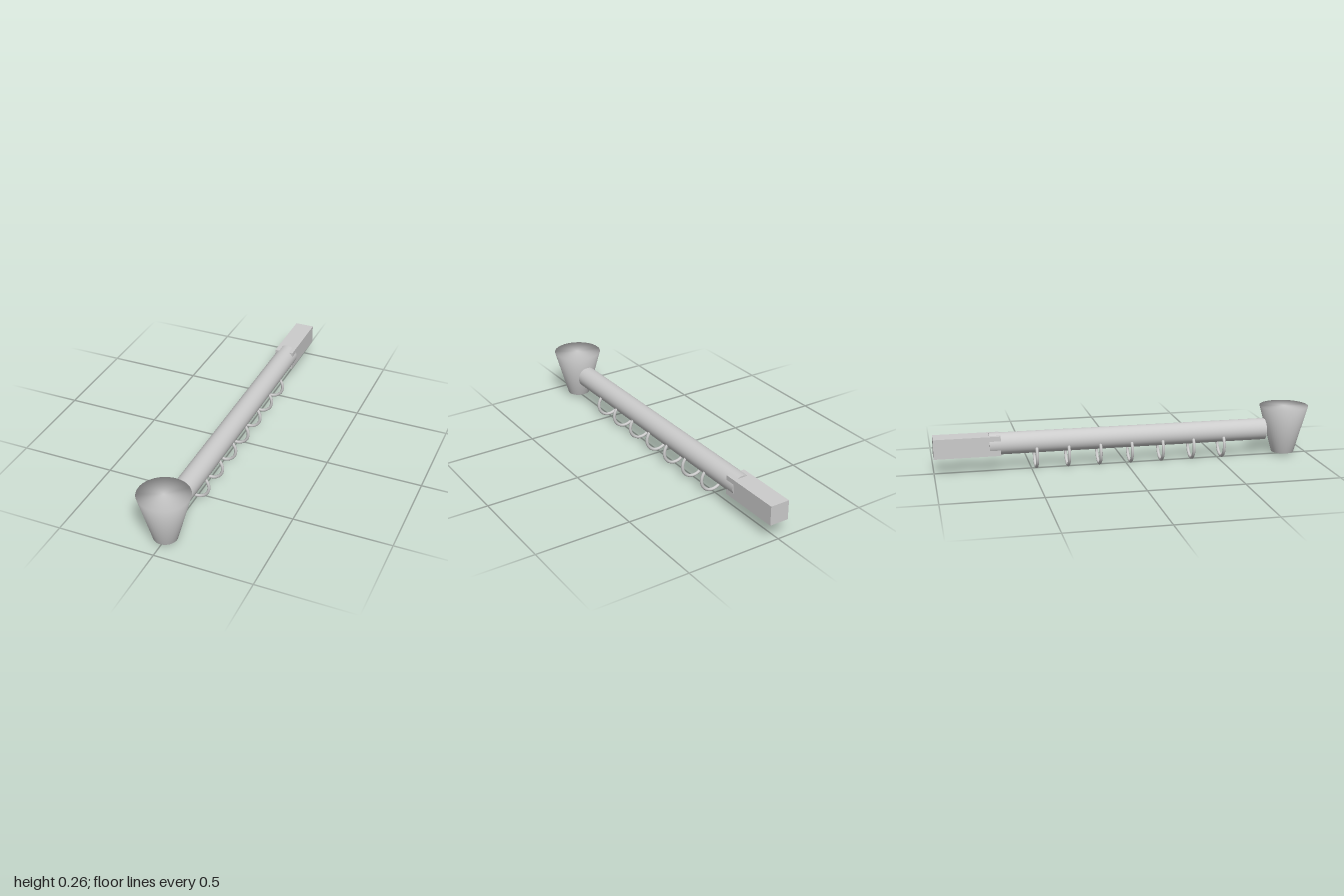
import * as THREE from 'three';
import { mergeVertices } from 'three/addons/utils/BufferGeometryUtils.js';

const AXIS_Y = 0.142; // height of the rod's axis

export function createModel() {
  const group = new THREE.Group();
  const material = new THREE.MeshStandardMaterial({ color: 0xcccccc });

  function add(name, geometry, x, y, z) {
    const mesh = new THREE.Mesh(geometry, material);
    mesh.name = name;
    mesh.position.set(x, y, z);
    group.add(mesh);
    return mesh;
  }

  // Tapered head, with normals blended softly over its rims
  let head = new THREE.CylinderGeometry(0.13, 0.06, 0.253, 48);
  head.deleteAttribute('normal');
  head.deleteAttribute('uv');
  head = mergeVertices(head);
  head.computeVertexNormals();
  add('head', head, 0, 0.1385, 0.87);

  // Long round rod
  const rodFront = 0.76, rodBack = -0.717;
  const rod = new THREE.CylinderGeometry(0.057, 0.057, rodFront - rodBack, 48);
  rod.rotateX(Math.PI / 2);
  add('rod', rod, 0, AXIS_Y, (rodFront + rodBack) / 2);

  // Square end block overlapping the back of the rod
  add('endBlock', new THREE.BoxGeometry(0.103, 0.102, 0.34), 0, 0.14, -0.83);

  // Row of rings hanging from the rod
  const ring = new THREE.TorusGeometry(0.066, 0.008, 12, 48);
  for (let i = 0; i < 7; i++) {
    add('ring' + (i + 1), ring, 0, 0.074, 0.521 - i * 0.1663);
  }

  return group;
}
